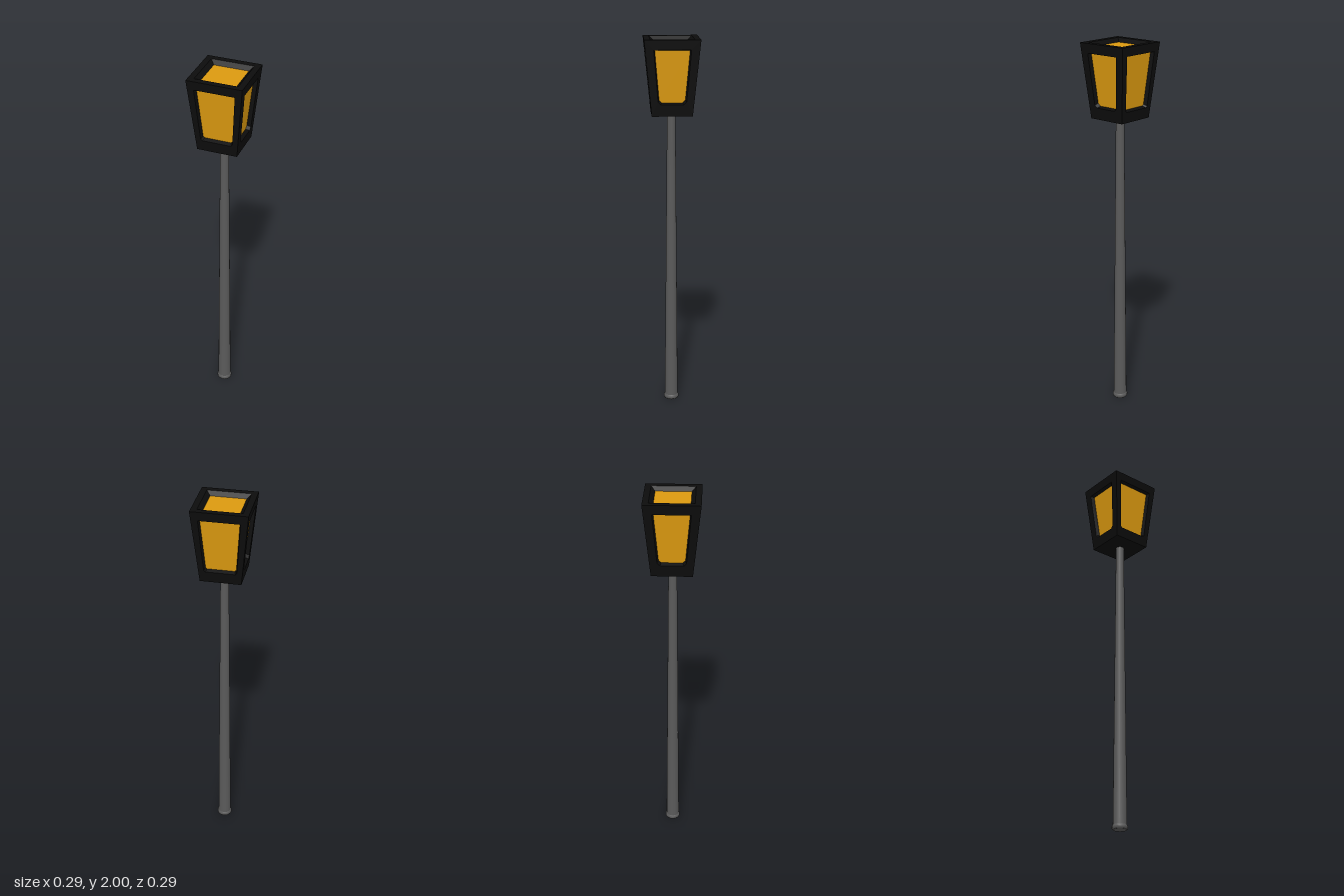
import * as THREE from 'three';

const BOTTOM = 1.61, TOP = 2.0, HALF_BOTTOM = 0.105, HALF_TOP = 0.143;
const RECESS = 0.02;

function material(name, color) {
  const m = new THREE.MeshStandardMaterial({ color });
  m.name = name;
  return m;
}

function mesh(name, geometry, mat) {
  const m = new THREE.Mesh(geometry, mat);
  m.name = name;
  return m;
}

// Symmetric outline from v0 (half width w0) up to v1 (half width w1), lower corners cut by c
function outline(v0, w0, v1, w1, c = 0) {
  const lower = c > 0
    ? [[-w0, v0 + c], [-w0 + c, v0], [w0 - c, v0], [w0, v0 + c]]
    : [[-w0, v0], [w0, v0]];
  return [...lower, [w1, v1], [-w1, v1]].map(([x, y]) => new THREE.Vector2(x, y));
}

// Sloping reveal joining the frame opening to the recessed glass
function revealGeometry(outer, inner) {
  const pos = [];
  outer.forEach((a, i) => {
    const j = (i + 1) % outer.length;
    const b = outer[j], c = inner[j], d = inner[i];
    pos.push(a.x, a.y, 0, b.x, b.y, 0, c.x, c.y, -RECESS);
    pos.push(a.x, a.y, 0, c.x, c.y, -RECESS, d.x, d.y, -RECESS);
  });
  const g = new THREE.BufferGeometry();
  g.setAttribute('position', new THREE.Float32BufferAttribute(pos, 3));
  g.computeVertexNormals();
  return g;
}

// One lantern face: frame with opening, reveal and glass
function lanternFace(name, edge, opening, glass, black, amber) {
  const face = new THREE.Group();
  face.name = name;
  const shape = new THREE.Shape(edge);
  shape.holes.push(new THREE.Path(opening));
  face.add(mesh('frame', new THREE.ShapeGeometry(shape), black));
  face.add(mesh('reveal', revealGeometry(opening, glass), black));
  const pane = mesh('glass', new THREE.ShapeGeometry(new THREE.Shape(glass)), amber);
  pane.position.z = -RECESS;
  face.add(pane);
  return face;
}

export function createModel() {
  const model = new THREE.Group();
  model.name = 'streetLamp';
  const grey = material('poleGrey', 0x5a5a5a);
  const black = material('frameBlack', 0x0c0c0c);
  const amber = material('glassAmber', 0xdc9a10);

  // Tapered pole and its base ring
  const pole = mesh('pole', new THREE.CylinderGeometry(0.022, 0.036, BOTTOM, 16), grey);
  pole.position.y = BOTTOM / 2;
  model.add(pole);
  const ring = [[0, 0], [0.035, 0], [0.041, 0.007], [0.041, 0.018], [0.036, 0.025]];
  model.add(mesh('baseRing',
    new THREE.LatheGeometry(ring.map(([x, y]) => new THREE.Vector2(x, y)), 16), grey));

  // Lantern that widens upward
  const lantern = new THREE.Group();
  lantern.name = 'lantern';
  model.add(lantern);
  const rise = TOP - BOTTOM, spread = HALF_TOP - HALF_BOTTOM;
  const slant = Math.hypot(rise, spread);
  const edge = outline(0, HALF_BOTTOM, slant, HALF_TOP);

  ['front', 'right', 'back', 'left'].forEach((side, k) => {
    const narrow = k % 2 === 1;
    const w0 = narrow ? 0.067 : 0.077, w1 = narrow ? 0.089 : 0.098;
    const v0 = narrow ? 0.067 : 0.063, v1 = narrow ? 0.335 : 0.339;
    const cut = narrow ? 0.014 : 0.008;
    const face = lanternFace(side + 'Pane', edge,
      outline(v0 - 0.006, w0 + 0.006, v1 + 0.006, w1 + 0.006, cut),
      outline(v0, w0, v1, w1, cut), black, amber);
    face.position.set(0, BOTTOM, HALF_BOTTOM);
    face.rotation.x = Math.atan2(spread, rise);
    const turn = new THREE.Group();
    turn.name = side + 'Side';
    turn.rotation.y = k * Math.PI / 2;
    turn.add(face);
    lantern.add(turn);
  });

  // Top face with its square glass
  const square = (h) => outline(-h, h, h, h);
  const roof = lanternFace('topPane', square(HALF_TOP), square(0.112), square(0.091), black, amber);
  roof.position.y = TOP;
  roof.rotation.x = -Math.PI / 2;
  lantern.add(roof);

  // Closed underside
  const floor = mesh('lanternFloor', new THREE.PlaneGeometry(2 * HALF_BOTTOM, 2 * HALF_BOTTOM), black);
  floor.position.y = BOTTOM;
  floor.rotation.x = Math.PI / 2;
  lantern.add(floor);

  return model;
}
